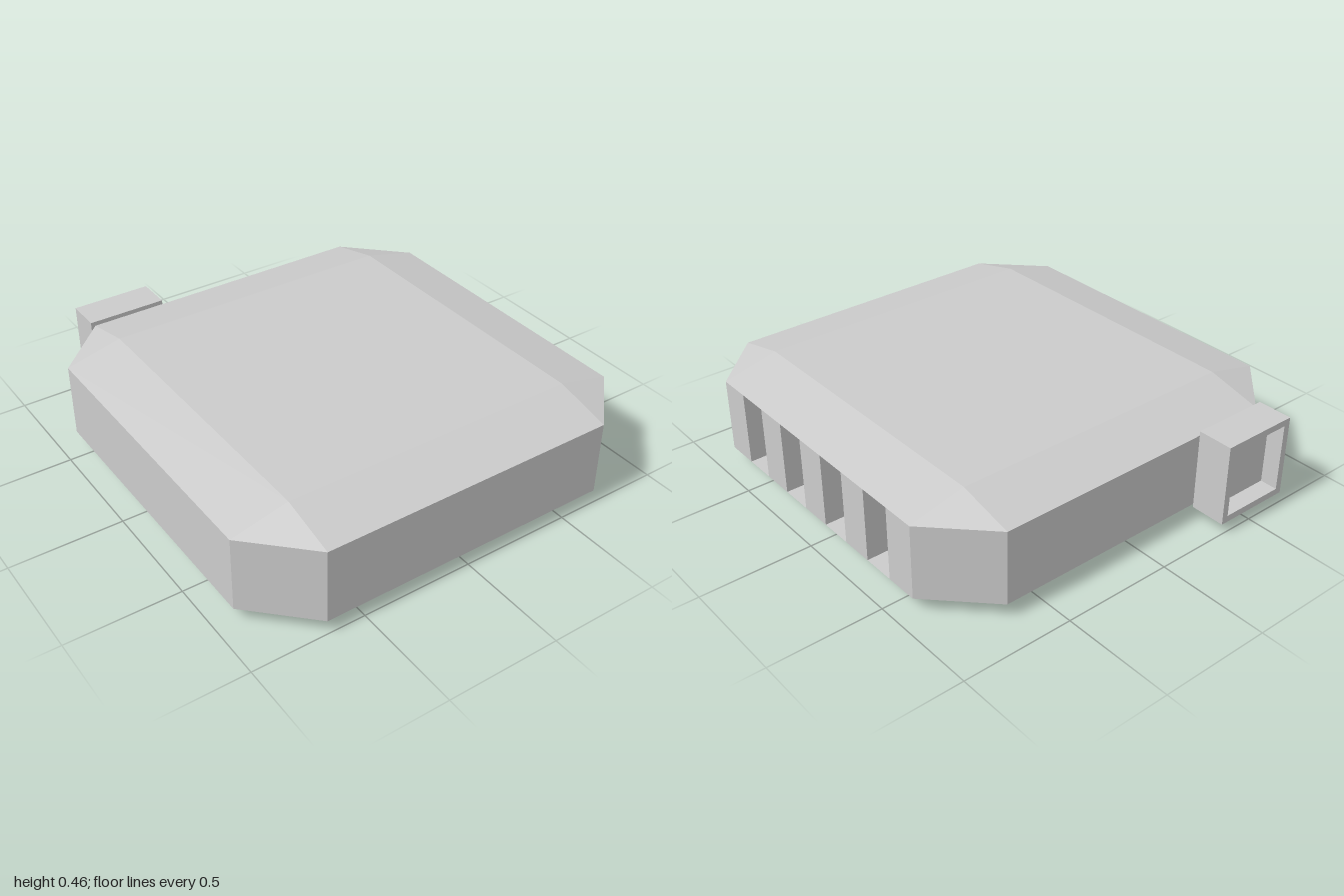
import * as THREE from 'three';

const material = new THREE.MeshStandardMaterial({ color: 0xcccccc, flatShading: true });

// Body dimensions
const X = 0.92, X_FLAT = 0.67;
const Z_BACK = -0.84, Z_BACK_FLAT = -0.59, Z_FRONT_FLAT = 0.75, Z_FRONT = 1.0;
const Y_LOW = 0.065, Y_HIGH = 0.4, Y_TOP = 0.46;
const GROOVES = 4, GROOVE_DEPTH = 0.15, RECESS_DEPTH = 0.16;

// Faceted band between two matching [x, z] loops at heights y0 and y1
function band(lower, y0, upper, y1) {
  const positions = [];
  const tri = (a, b, c) => {
    if (new THREE.Triangle(a, b, c).getArea() < 1e-7) return;
    for (const p of [a, b, c]) positions.push(p.x, p.y, p.z);
  };
  const at = ([x, z], y) => new THREE.Vector3(x, y, z);
  for (let i = 0; i < lower.length; i++) {
    const j = (i + 1) % lower.length;
    const a = at(lower[i], y0), b = at(lower[j], y0);
    const c = at(upper[j], y1), d = at(upper[i], y1);
    tri(a, b, c);
    tri(a, c, d);
  }
  const geometry = new THREE.BufferGeometry();
  geometry.setAttribute('position', new THREE.Float32BufferAttribute(positions, 3));
  geometry.computeVertexNormals();
  return geometry;
}

// Horizontal polygon from an [x, z] loop, facing up or down, with an optional hole
function flat(loop, y, up, hole) {
  const s = up ? -1 : 1;
  const points = (l) => l.map(([x, z]) => new THREE.Vector2(x, s * z));
  const shape = new THREE.Shape(points(loop));
  if (hole) shape.holes.push(new THREE.Path(points(hole)));
  return new THREE.ShapeGeometry(shape).rotateX(s * Math.PI / 2).translate(0, y, 0);
}

// Rectangle loop, counter-clockwise seen from above
const rect = (x0, x1, z0, z1) => [[x1, z1], [x1, z0], [x0, z0], [x0, z1]];

export function createModel() {
  const model = new THREE.Group();
  const add = (name, geometry, parent = model) => {
    const mesh = new THREE.Mesh(geometry, material);
    mesh.name = name;
    parent.add(mesh);
    return mesh;
  };

  // Eight-sided outline, and the rectangle its corners taper to
  const outline = [
    [X, Z_FRONT_FLAT], [X, Z_BACK_FLAT], [X_FLAT, Z_BACK], [-X_FLAT, Z_BACK],
    [-X, Z_BACK_FLAT], [-X, Z_FRONT_FLAT], [-X_FLAT, Z_FRONT], [X_FLAT, Z_FRONT],
  ];
  const inner = outline.map(([x, z]) => [
    THREE.MathUtils.clamp(x, -X_FLAT, X_FLAT),
    THREE.MathUtils.clamp(z, Z_BACK_FLAT, Z_FRONT_FLAT),
  ]);
  const face = rect(-X_FLAT, X_FLAT, Z_BACK_FLAT, Z_FRONT_FLAT);

  // Vent grooves cut into the left side, with their floors and ceilings
  const body = new THREE.Group();
  body.name = 'body';
  model.add(body);
  const step = (Z_FRONT_FLAT - Z_BACK_FLAT) / (2 * GROOVES + 1);
  const notches = [];
  for (let i = 0; i < GROOVES; i++) {
    const z1 = Z_FRONT_FLAT - (2 * i + 1) * step, z0 = z1 - step, xIn = X - GROOVE_DEPTH;
    notches.push([X, z1], [xIn, z1], [xIn, z0], [X, z0]);
    const slot = rect(xIn, X, z0, z1);
    add('grooveFloor', flat(slot, Y_LOW, true), body);
    add('grooveCeiling', flat(slot, Y_HIGH, false), body);
  }
  const walls = [outline[0], ...notches, ...outline.slice(1)];
  add('sideWalls', band(walls, Y_LOW, walls, Y_HIGH), body);

  // Sloped rims and flat top
  add('upperBevel', band(outline, Y_HIGH, inner, Y_TOP), body);
  add('topFace', flat(face, Y_TOP, true), body);
  add('lowerBevel', band(inner, 0, outline, Y_LOW), body);

  // Underside with its rectangular recess
  const recess = rect(-0.2, 0.57, -0.49, 0.62);
  const inward = [...recess].reverse();
  add('underside', flat(face, 0, false, recess), body);
  add('recessWalls', band(inward, 0, inward, RECESS_DEPTH), body);
  add('recessCeiling', flat(recess, RECESS_DEPTH, false), body);

  // Open-ended connector at the back
  const connector = new THREE.Group();
  connector.name = 'connector';
  connector.position.set(-0.51, 0.235, -1);
  model.add(connector);
  const w = 0.36, h = 0.37, depth = 0.16, rim = 0.03, cavity = 0.08;
  const corners = (a, b) => [[-a, -b], [a, -b], [a, b], [-a, b]].map(([x, y]) => new THREE.Vector2(x, y));
  const frame = new THREE.Shape(corners(w / 2, h / 2));
  frame.holes.push(new THREE.Path(corners(w / 2 - rim, h / 2 - rim)));
  add('connectorShell', new THREE.ExtrudeGeometry(frame, { depth, bevelEnabled: false }), connector);
  const plate = new THREE.BoxGeometry(w - 2 * rim, h - 2 * rim, depth - cavity);
  add('connectorPlate', plate.translate(0, 0, (depth + cavity) / 2), connector);

  return model;
}
